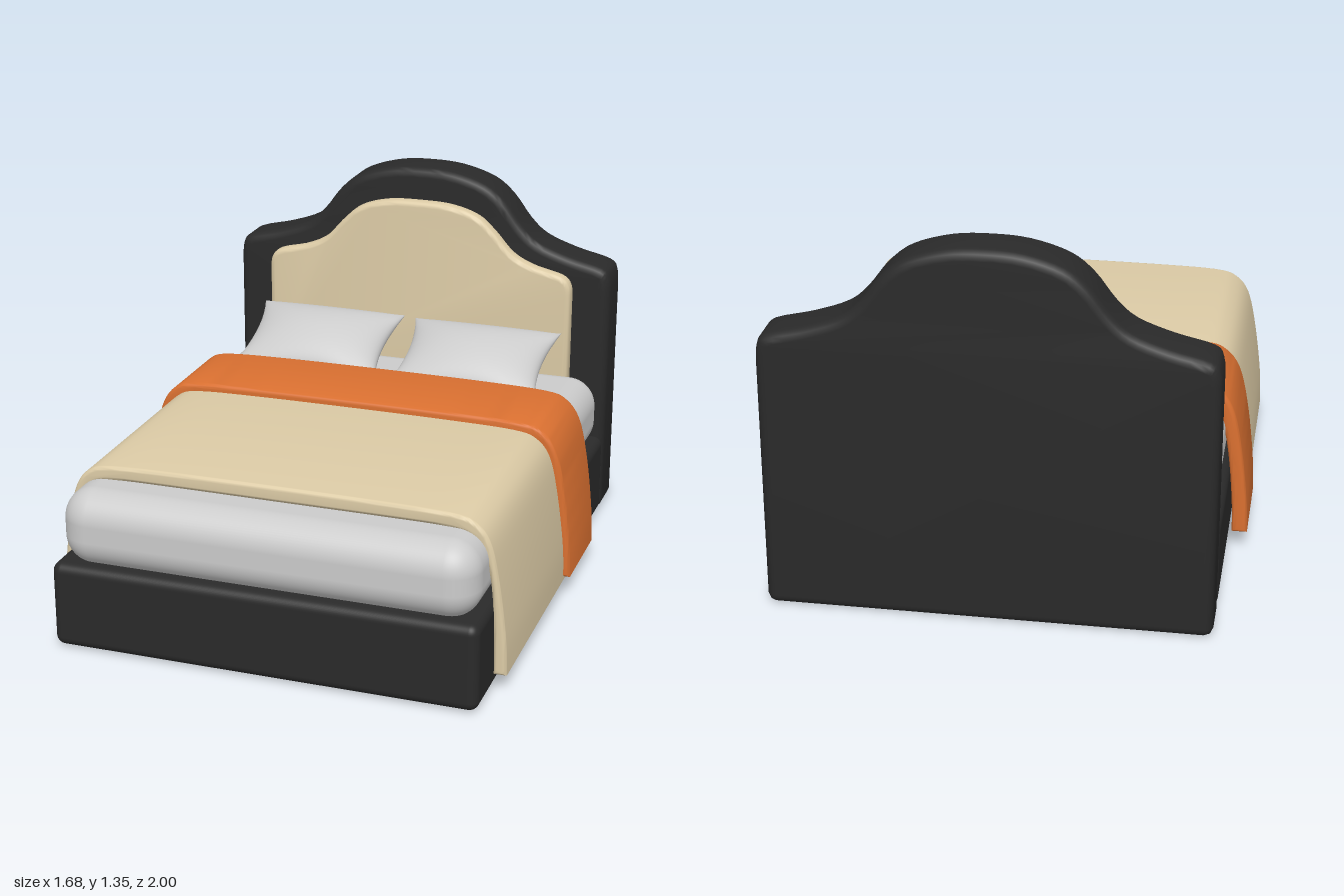
import * as THREE from 'three';
import { toCreasedNormals } from 'three/addons/utils/BufferGeometryUtils.js';
import { RoundedBoxGeometry } from 'three/addons/geometries/RoundedBoxGeometry.js';

const dark = new THREE.MeshStandardMaterial({ color: 0x2a2a2a });
const beige = new THREE.MeshStandardMaterial({ color: 0xdccba6 });
const orange = new THREE.MeshStandardMaterial({ color: 0xd86f30 });
const grey = new THREE.MeshStandardMaterial({ color: 0xcccccc });

const vec = ([x, y]) => new THREE.Vector2(x, y);

// Smooth symmetric line from a right half (listed from the side to x = 0)
function mirroredCurve(half, divisions) {
  const left = half.slice(0, -1).reverse().map(([x, y]) => [-x, y]);
  return new THREE.SplineCurve([...half, ...left].map(vec)).getPoints(divisions);
}

// Extrusion from z0 to z1 with rounded edges kept inside the outline
function softExtrude(points, z0, z1, r) {
  const geo = new THREE.ExtrudeGeometry(new THREE.Shape(points), {
    depth: z1 - z0 - 2 * r, bevelEnabled: true, bevelThickness: r,
    bevelSize: r, bevelOffset: -r, bevelSegments: 5,
  });
  geo.translate(0, 0, z0 + r);
  return toCreasedNormals(geo, 0.7);
}

// Arched slab standing on y = bottom
function archedSlab(half, bottom, z0, z1, r) {
  const w = half[0][0], c = 0.03;
  const foot = [[-w, bottom + c], [-w + c * 0.3, bottom + c * 0.3], [-w + c, bottom],
    [w - c, bottom], [w - c * 0.3, bottom + c * 0.3], [w, bottom + c]].map(vec);
  return softExtrude([...foot, ...mirroredCurve(half, 72)], z0, z1, r);
}

// Cloth hanging over both sides of the bed
function drape(outer, inner, z0, z1, r) {
  const top = mirroredCurve(outer, 64);
  const under = mirroredCurve(inner, 64).reverse();
  return softExtrude([...top, ...under], z0, z1, r);
}

// Cushion with pinched corners and concave seams
function pillowGeometry(w, d, h) {
  const geo = new THREE.SphereGeometry(1, 48, 32);
  const p = geo.attributes.position;
  for (let i = 0; i < p.count; i++) {
    const x = p.getX(i), y = p.getY(i), z = p.getZ(i);
    // stretch the round plan onto a square
    const m = Math.max(Math.abs(x), Math.abs(z));
    const k = m > 1e-6 ? Math.hypot(x, z) / m : 1;
    const u = x * k, v = z * k;
    const puff = Math.sign(y) * Math.pow(Math.max(0, (1 - u * u) * (1 - v * v)), 0.5);
    p.setXYZ(i,
      u * w / 2 * (1 - 0.11 * (1 - v * v)),
      puff * h / 2,
      v * d / 2 * (1 - 0.12 * (1 - u * u)));
  }
  geo.computeVertexNormals();
  return geo;
}

export function createModel() {
  const bed = new THREE.Group();
  bed.name = 'bed';
  const add = (name, geometry, material, x = 0, y = 0, z = 0) => {
    const mesh = new THREE.Mesh(geometry, material);
    mesh.name = name;
    mesh.position.set(x, y, z);
    bed.add(mesh);
    return mesh;
  };

  // Base and mattress
  add('base', new RoundedBoxGeometry(1.54, 0.315, 1.81, 5, 0.035), dark, 0, 0.163, 0.093);
  add('mattress', new RoundedBoxGeometry(1.5, 0.28, 1.8, 8, 0.11), grey, 0, 0.44, 0.085);

  // Headboard and its padded inset
  add('headboard', archedSlab([
    [0.77, 0.9], [0.765, 0.965], [0.735, 1.005], [0.6, 1.04], [0.48, 1.085], [0.41, 1.145],
    [0.34, 1.235], [0.26, 1.298], [0.13, 1.338], [0, 1.347],
  ], 0, -1, -0.805, 0.035), dark);
  add('headboardPanel', archedSlab([
    [0.625, 0.88], [0.62, 0.935], [0.585, 0.972], [0.47, 1.002], [0.385, 1.045], [0.31, 1.125],
    [0.24, 1.183], [0.13, 1.216], [0, 1.222],
  ], 0.42, -0.83, -0.76, 0.02), beige);

  // Blanket and runner
  add('blanket', drape(
    [[0.818, 0.06], [0.812, 0.2], [0.785, 0.4], [0.752, 0.54], [0.7, 0.605], [0.62, 0.628], [0.4, 0.635], [0, 0.637]],
    [[0.772, 0.06], [0.77, 0.2], [0.758, 0.38], [0.73, 0.5], [0.68, 0.56], [0.6, 0.577], [0.4, 0.58], [0, 0.58]],
    -0.04, 0.81, 0.014), beige);
  add('runner', drape(
    [[0.84, 0.07], [0.834, 0.2], [0.81, 0.4], [0.775, 0.555], [0.72, 0.63], [0.64, 0.655], [0.4, 0.663], [0, 0.665]],
    [[0.785, 0.07], [0.78, 0.2], [0.762, 0.38], [0.735, 0.5], [0.685, 0.56], [0.6, 0.577], [0.4, 0.58], [0, 0.58]],
    -0.365, 0.012, 0.016), orange);

  // Pillows leaning towards the headboard
  const pillow = pillowGeometry(0.6, 0.42, 0.19);
  for (const [name, x, y] of [['rightPillow', -0.345, 0.672], ['leftPillow', 0.297, 0.666]]) {
    add(name, pillow, grey, x, y, -0.565).rotation.x = 0.38;
  }
  return bed;
}
